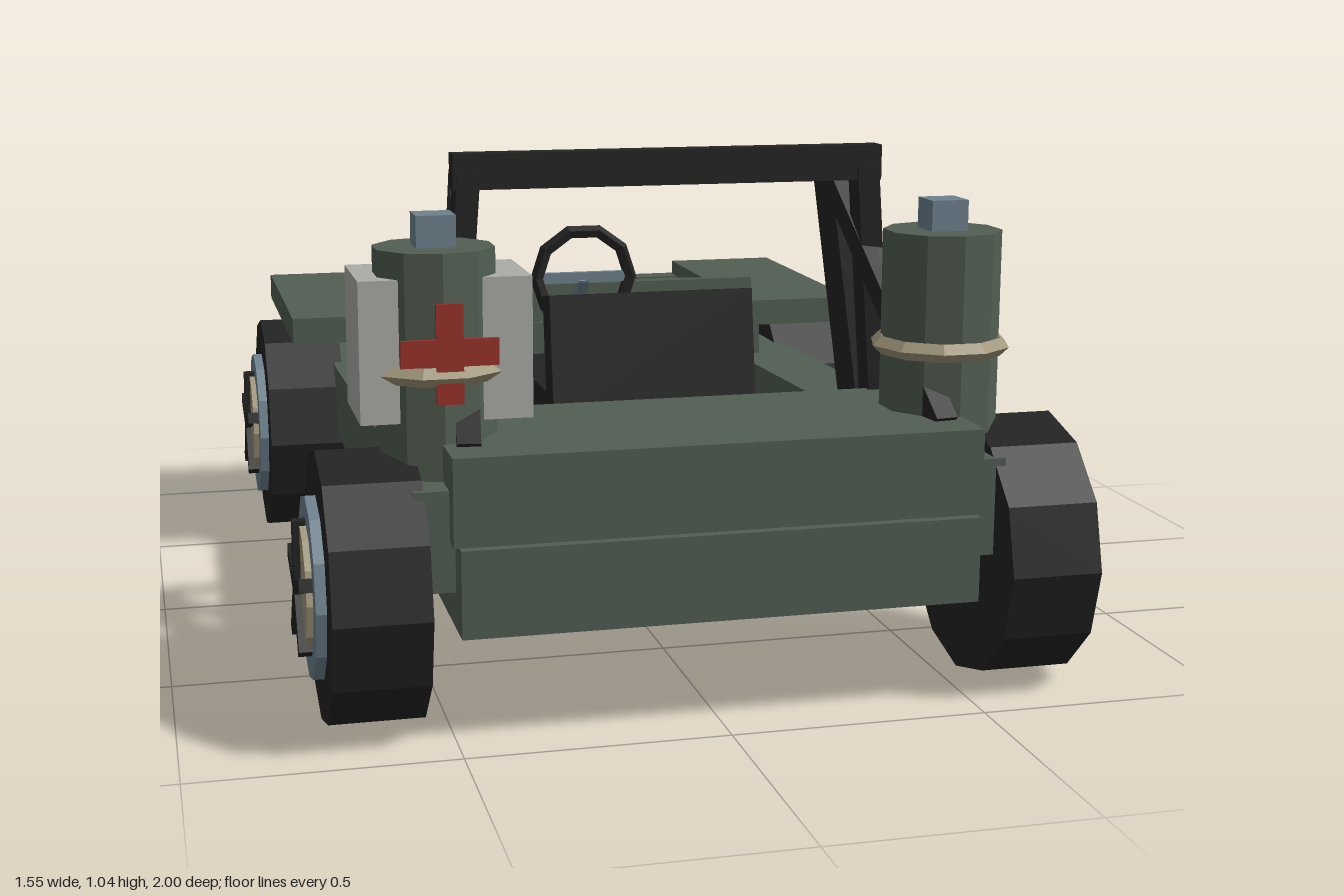
import * as THREE from 'three';

const mat = (name, color) => {
  const m = new THREE.MeshStandardMaterial({ color, flatShading: true });
  m.name = name;
  return m;
};

export function createModel() {
  const green = mat('army green', 0x525e53), black = mat('rubber black', 0x232323);
  const steel = mat('blue steel', 0x6d818e), tan = mat('tan', 0xa2977d);
  const red = mat('red', 0x9a312a), white = mat('off white', 0xabaca7);
  const root = new THREE.Group();
  root.name = 'buggy';

  const add = (name, geo, m, parent = root) => {
    const mesh = new THREE.Mesh(geo, m);
    mesh.name = name;
    parent.add(mesh);
    return mesh;
  };
  // Box given by its min and max on each axis
  const box = (name, m, x0, x1, y0, y1, z0, z1, parent) => {
    const b = add(name, new THREE.BoxGeometry(x1 - x0, y1 - y0, z1 - z0), m, parent);
    b.position.set((x0 + x1) / 2, (y0 + y1) / 2, (z0 + z1) / 2);
    return b;
  };
  // Side profile of [z, y] points swept from x0 to x1
  const slab = (name, m, x0, x1, pts) => {
    const shape = new THREE.Shape(pts.map(p => new THREE.Vector2(p[0], p[1])));
    const geo = new THREE.ExtrudeGeometry(shape, { depth: x1 - x0, bevelEnabled: false });
    geo.rotateY(-Math.PI / 2).translate(x1, 0, 0);
    return add(name, geo, m);
  };
  // Square bar between two points
  const bar = (name, m, a, b, w, h = w) => {
    const A = new THREE.Vector3(...a), B = new THREE.Vector3(...b);
    const mesh = add(name, new THREE.BoxGeometry(w, h, A.distanceTo(B)), m);
    mesh.position.copy(A).add(B).multiplyScalar(0.5);
    mesh.lookAt(B);
    return mesh;
  };

  // Hull, deck and nose
  box('hullBottom', green, -0.495, 0.495, 0.21, 0.32, -0.86, 0.94);
  box('frontPanel', green, -0.495, 0.495, 0.21, 0.375, 0.54, 0.965);
  box('frontDeck', green, -0.505, 0.505, 0.375, 0.54, 0.54, 0.945);
  box('deckStep', green, -0.5, 0.5, 0.3, 0.47, 0.46, 0.56);
  slab('nose', green, -0.47, 0.47,
    [[-0.36, 0.22], [-0.86, 0.22], [-0.94, 0.36], [-0.91, 0.54], [-0.36, 0.54]]);

  // Hood: wider and higher toward the cockpit
  const hood = slab('hood', green, -0.45, 0.45,
    [[-0.37, 0.48], [-0.91, 0.48], [-0.91, 0.548], [-0.37, 0.63]]);
  const hp = hood.geometry.attributes.position;
  for (let i = 0; i < hp.count; i++) {
    if (hp.getZ(i) < -0.6) hp.setX(i, hp.getX(i) * 0.91);
  }
  hood.geometry.computeVertexNormals();

  // Grille with upright bars
  box('grille', black, -0.29, 0.29, 0.4, 0.54, -0.98, -0.93);
  for (let i = -2; i <= 2; i++) {
    box('grilleBar', steel, i * 0.1 - 0.012, i * 0.1 + 0.012, 0.41, 0.53, -1.0, -0.97);
  }

  for (const s of [-1, 1]) {
    // Side sills and fenders
    const sill = [[-0.88, 0.28], [0.9, 0.28], [0.9, 0.47], [0.5, 0.47], [-0.4, 0.44], [-0.88, 0.44]];
    slab('sideSill', green, s > 0 ? 0.41 : -0.57, s > 0 ? 0.57 : -0.41, sill);
    box('fender', green, s > 0 ? 0.41 : -0.68, s > 0 ? 0.68 : -0.41, 0.525, 0.585, -0.97, -0.29);
    box('nosePlate', green, s * 0.39 - 0.09, s * 0.39 + 0.09, 0.47, 0.55, -0.985, -0.925);

    // Roll cage legs and diagonal struts
    bar('hoopLeg', black, [s * 0.405, 1.0, 0.527], [s * 0.445, 0.46, 0.527], 0.06, 0.045);
    bar('rearHoopLeg', black, [s * 0.385, 0.99, 0.37], [s * 0.43, 0.46, 0.455], 0.045, 0.05);
    bar('cageStrut', black, [s * 0.39, 0.98, 0.37], [s * 0.46, 0.53, 0.85], 0.045);

    // Wheels
    for (const z of [0.74, -0.66]) {
      const wheel = new THREE.Group();
      wheel.name = 'wheel';
      wheel.position.set(s * 0.64, 0.26, z);
      wheel.rotation.y = s > 0 ? 0 : Math.PI;
      root.add(wheel);
      const disc = (name, m, r, x0, x1) => {
        const d = add(name, new THREE.CylinderGeometry(r, r, x1 - x0, 12), m, wheel);
        d.rotation.z = -Math.PI / 2;
        d.position.x = (x0 + x1) / 2;
      };
      disc('tyre', black, 0.26, -0.09, 0.09);
      disc('rim', steel, 0.175, 0, 0.11);
      disc('hub', tan, 0.125, 0.1, 0.122);
      for (let i = 0; i < 5; i++) {
        const spoke = add('spoke', new THREE.BoxGeometry(0.03, 0.13, 0.026).translate(0.12, 0.065, 0), black, wheel);
        spoke.rotation.x = i * Math.PI * 2 / 5;
      }
    }

    // Canisters with cap and strap
    const can = new THREE.Group();
    can.name = 'canister';
    can.position.set(s * 0.5, 0, 0.72);
    root.add(can);
    add('canisterBody', new THREE.CylinderGeometry(0.115, 0.115, 0.42, 10), green, can).position.y = 0.68;
    box('canisterCap', steel, -0.037, 0.037, 0.88, 0.95, -0.037, 0.037, can);
    const strap = add('strap', new THREE.TorusGeometry(0.12, 0.018, 4, 10), tan, can);
    strap.rotation.x = Math.PI / 2;
    strap.position.y = 0.665;
  }

  // Roll cage cross bars
  box('hoopTop', black, -0.435, 0.435, 0.97, 1.04, 0.505, 0.55);
  box('rearHoopTop', black, -0.41, 0.41, 0.96, 1.005, 0.345, 0.388);

  // Medical case and cross
  box('medicalCase', white, -0.65, -0.33, 0.575, 0.84, 0.59, 0.8);
  box('crossArm', red, -0.58, -0.4, 0.685, 0.735, 0.832, 0.841);
  box('crossPost', red, -0.515, -0.465, 0.615, 0.8, 0.832, 0.841);

  // Seat
  box('seatBase', green, -0.18, 0.18, 0.3, 0.45, 0, 0.42);
  box('seatCushion', black, -0.215, 0.215, 0.45, 0.525, -0.05, 0.42);
  const back = new THREE.Group();
  back.name = 'seatBack';
  back.position.set(0, 0.47, 0.4);
  back.rotation.x = -0.16;
  root.add(back);
  box('backrest', black, -0.215, 0.215, 0, 0.26, -0.035, 0.035, back);
  box('backrestPad', green, -0.165, 0.165, 0.07, 0.235, -0.05, -0.03, back);

  // Steering wheel and column
  const rim = add('steeringWheel', new THREE.TorusGeometry(0.112, 0.016, 5, 10), black);
  rim.position.set(0, 0.665, -0.25);
  bar('steeringColumn', steel, [0, 0.665, -0.25], [0, 0.51, -0.37], 0.025);
  box('steeringSpoke', steel, -0.105, 0.105, 0.653, 0.677, -0.258, -0.242);

  return root;
}
